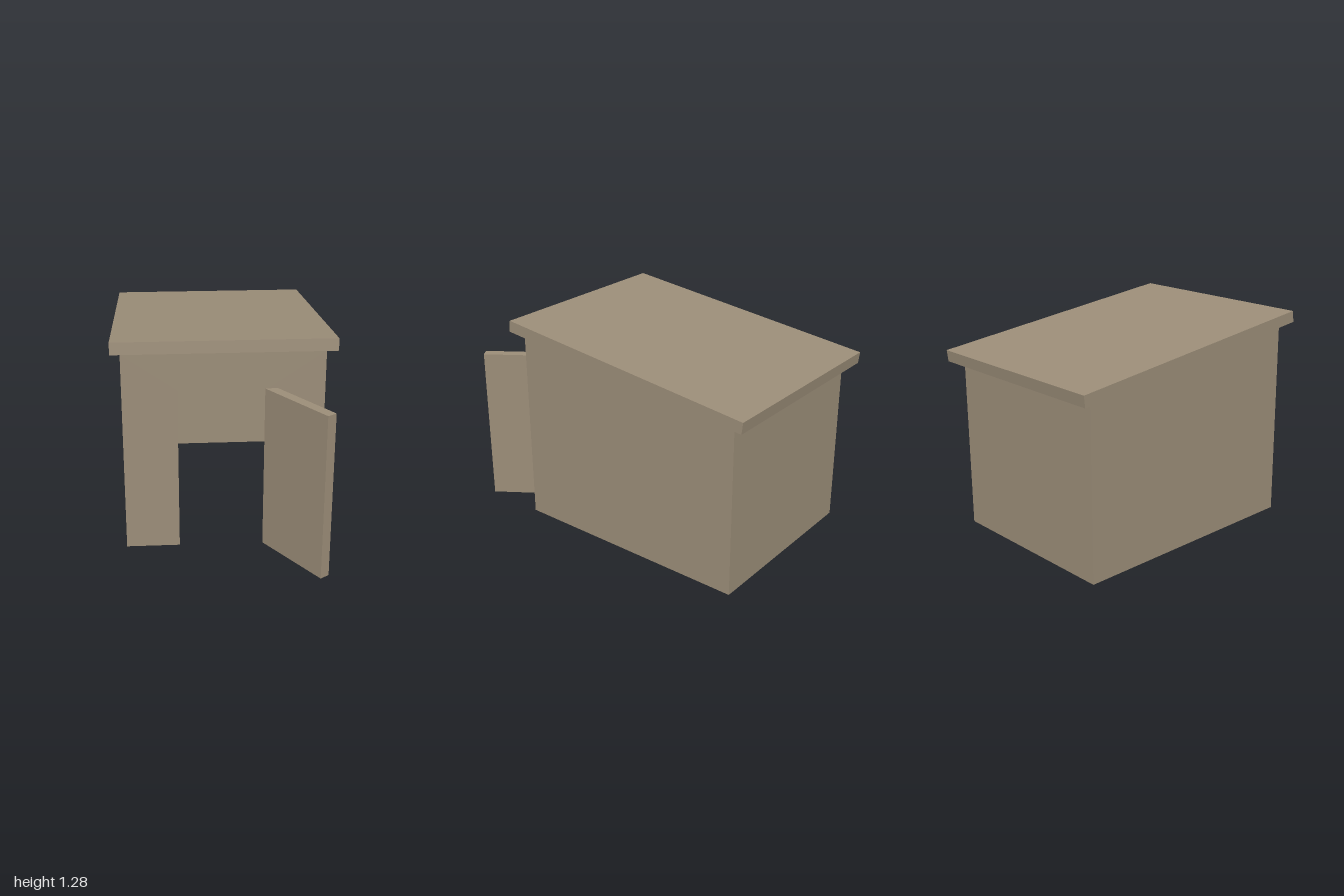
import * as THREE from 'three';

const HALF = 0.566, FRONT = 0.585, BACK = -0.915, T = 0.06; // wall extents and thickness
const TILT = -0.109; // roof pitch, higher at the front
const wallTop = z => 1.19 + (z - FRONT) * 0.107;

// Move the upper vertices of a wall onto the sloped eaves line
function slopeTop(geometry) {
  const p = geometry.attributes.position;
  for (let i = 0; i < p.count; i++) {
    if (p.getY(i) > 1) p.setY(i, wallTop(p.getZ(i)));
  }
  geometry.computeVertexNormals();
  return geometry;
}

const outline = points => new THREE.Shape(points.map(([x, y]) => new THREE.Vector2(x, y)));

export function createModel() {
  const model = new THREE.Group();
  model.name = 'shed';
  const wood = new THREE.MeshStandardMaterial({ color: 0x9b8d78 });
  wood.name = 'weathered wood';

  const add = (name, geometry, parent) => {
    const mesh = new THREE.Mesh(geometry, wood);
    mesh.name = name;
    parent.add(mesh);
    return mesh;
  };

  const house = new THREE.Group();
  house.name = 'house';
  house.rotation.y = 0.003;
  model.add(house);

  // Side and back walls: U-shaped floor plan raised to the eaves, open below
  const inner = HALF - T, joint = FRONT - T;
  const plan = outline([
    [-HALF, -joint], [-inner, -joint], [-inner, -BACK - T], [inner, -BACK - T],
    [inner, -joint], [HALF, -joint], [HALF, -BACK], [-HALF, -BACK],
  ]);
  const sides = new THREE.ExtrudeGeometry(plan, { depth: 1.19, bevelEnabled: false });
  sides.rotateX(-Math.PI / 2);
  add('sideAndBackWalls', slopeTop(sides), house);

  // Front wall with the doorway cut from the ground up
  const face = outline([
    [-HALF, 0], [-0.257, 0], [-0.257, 0.975], [0.245, 0.975],
    [0.245, 0], [HALF, 0], [HALF, 1.19], [-HALF, 1.19],
  ]);
  const front = new THREE.ExtrudeGeometry(face, { depth: T, bevelEnabled: false });
  front.translate(0, 0, joint);
  add('frontWall', slopeTop(front), house);

  // Overhanging roof slab with a ceiling panel fitted between the walls
  const roof = new THREE.Group();
  roof.name = 'roof';
  roof.position.set(0, 1.155, -0.172);
  roof.rotation.x = TILT;
  house.add(roof);
  add('roofSlab', new THREE.BoxGeometry(1.237, 0.069, 1.657), roof);
  const ceiling = add('ceilingPanel', new THREE.BoxGeometry(2 * inner, 0.03, 1.4), roof);
  ceiling.position.set(0, -0.0495, 0.013);

  // Door standing open, hinged on the left side of the doorway
  const door = add('door', new THREE.BoxGeometry(0.06, 0.975, 0.5), model);
  door.position.set(0.398, 0.4875, 0.776);
  door.rotation.y = 0.6;

  return model;
}
